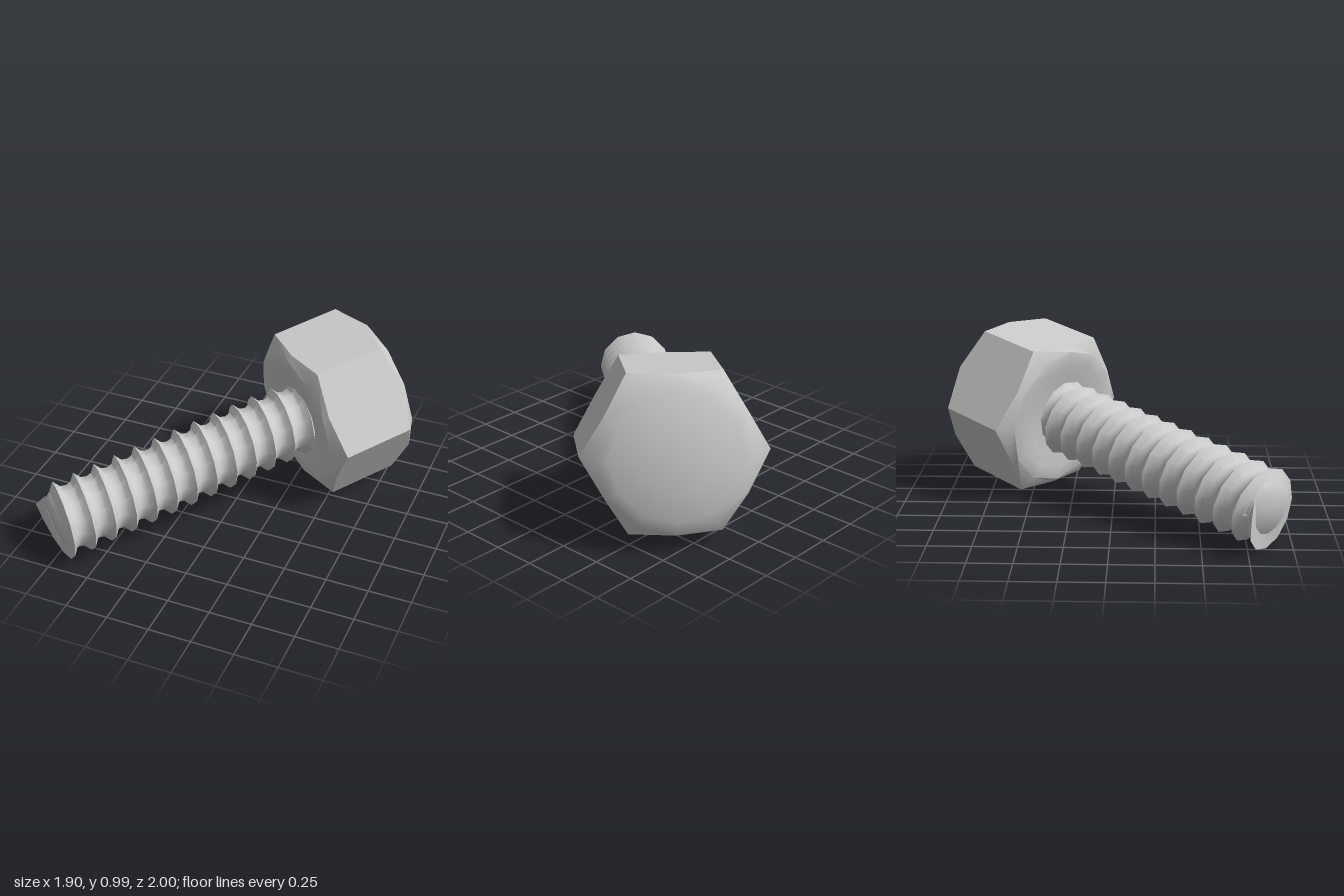
import * as THREE from 'three';
import { toCreasedNormals } from 'three/addons/utils/BufferGeometryUtils.js';

const material = new THREE.MeshStandardMaterial({ color: 0xcccccc, side: THREE.DoubleSide });

// Surface from a grid of points: point(i, j), i around (+angle), j from head end to tip end
function gridMesh(name, cols, rows, point, crease) {
  const pos = [], index = [];
  for (let i = 0; i <= cols; i++) {
    for (let j = 0; j < rows; j++) {
      pos.push(...point(i, j));
      if (i < cols && j < rows - 1) {
        const a = i * rows + j, b = a + rows;
        index.push(a, b, a + 1, b, b + 1, a + 1);
      }
    }
  }
  const geo = new THREE.BufferGeometry();
  geo.setAttribute('position', new THREE.Float32BufferAttribute(pos, 3));
  geo.setIndex(index);
  const mesh = new THREE.Mesh(toCreasedNormals(geo, crease), material);
  mesh.name = name;
  return mesh;
}

const polar = (r, angle, h) => [r * Math.cos(angle), h, r * Math.sin(angle)];

// Hexagonal head: low dome on top, chamfered corners, shallow washer face below
function makeHead() {
  const flat = 0.444, corner = flat / Math.cos(Math.PI / 6), segments = 12;
  const top = [[0, 0.352], [0.2, 0.34], [0.36, 0.307], [0.43, 0.28]];
  const bottom = [[0.415, -0.265], [0.34, -0.268], [0.25, -0.25], [0, -0.245]];
  const rows = top.length + 2 + bottom.length;
  return gridMesh('hexHead', segments, rows, (i, j) => {
    const a = (i / segments) * Math.PI * 2;
    if (j < top.length) return polar(top[j][0], a, top[j][1]);
    const k = j - top.length - 2;
    if (k >= 0) return polar(bottom[k][0], a, bottom[k][1]);
    // Even columns are the hexagon's corners, odd ones the middles of its sides
    const [R, upper, lower] = i % 2 ? [flat, 0.268, -0.235] : [corner, 0.21, -0.21];
    return polar(R, a, k === -2 ? upper : lower);
  }, 0.55);
}

// Plain core with a slightly bevelled end
function makeCore() {
  const profile = [[0.177, -0.2], [0.177, -1.81], [0.15, -1.835], [0, -1.84]];
  return gridMesh('shankCore', 12, profile.length,
    (i, j) => polar(profile[j][0], (i / 12) * Math.PI * 2, profile[j][1]), 0.9);
}

// Helical ridge; its first turn runs into the end face and begins as a pointed tooth
function makeThread() {
  const pitch = 0.1285, turns = 13, start = -1.875, endR = 0.14, endH = -1.838;
  const section = [[0.178, 0.5], [0.186, 0.25], [0.227, 0], [0.186, -0.25], [0.178, -0.5]];
  return gridMesh('thread', turns * 12 + 1, section.length, (i, j) => {
    const step = i - 1, angle = Math.PI + (step / 12) * Math.PI * 2;
    const crest = start + (pitch * step) / 12;
    let [r, offset] = section[j];
    let h = crest + pitch * offset;
    if (step < 12 && j > 2) {
      const t = (j - 2) / 2;
      r = THREE.MathUtils.lerp(0.227, endR, t);
      h = THREE.MathUtils.lerp(crest, endH, t);
    }
    // The very first section lies flush with the core, closing the tooth
    if (step < 0) return polar(Math.min(r, 0.177), angle, Math.max(h, -1.82));
    return polar(r, angle, h);
  }, 0.8);
}

export function createModel() {
  const bolt = new THREE.Group();
  bolt.name = 'bolt';
  bolt.add(makeHead(), makeCore(), makeThread());

  // Lay the bolt down: local +y runs from the tip to the head
  const axis = new THREE.Vector3(0.641, 0.154, -0.752).normalize();
  const up = new THREE.Vector3(0.757, 0.01, 0.65).cross(axis).normalize();
  const side = new THREE.Vector3().crossVectors(axis, up);
  bolt.quaternion.setFromRotationMatrix(new THREE.Matrix4().makeBasis(side, axis, up));
  bolt.position.set(0.4275, 0.497, -0.5075);

  const model = new THREE.Group();
  model.name = 'hexBolt';
  model.add(bolt);
  return model;
}
